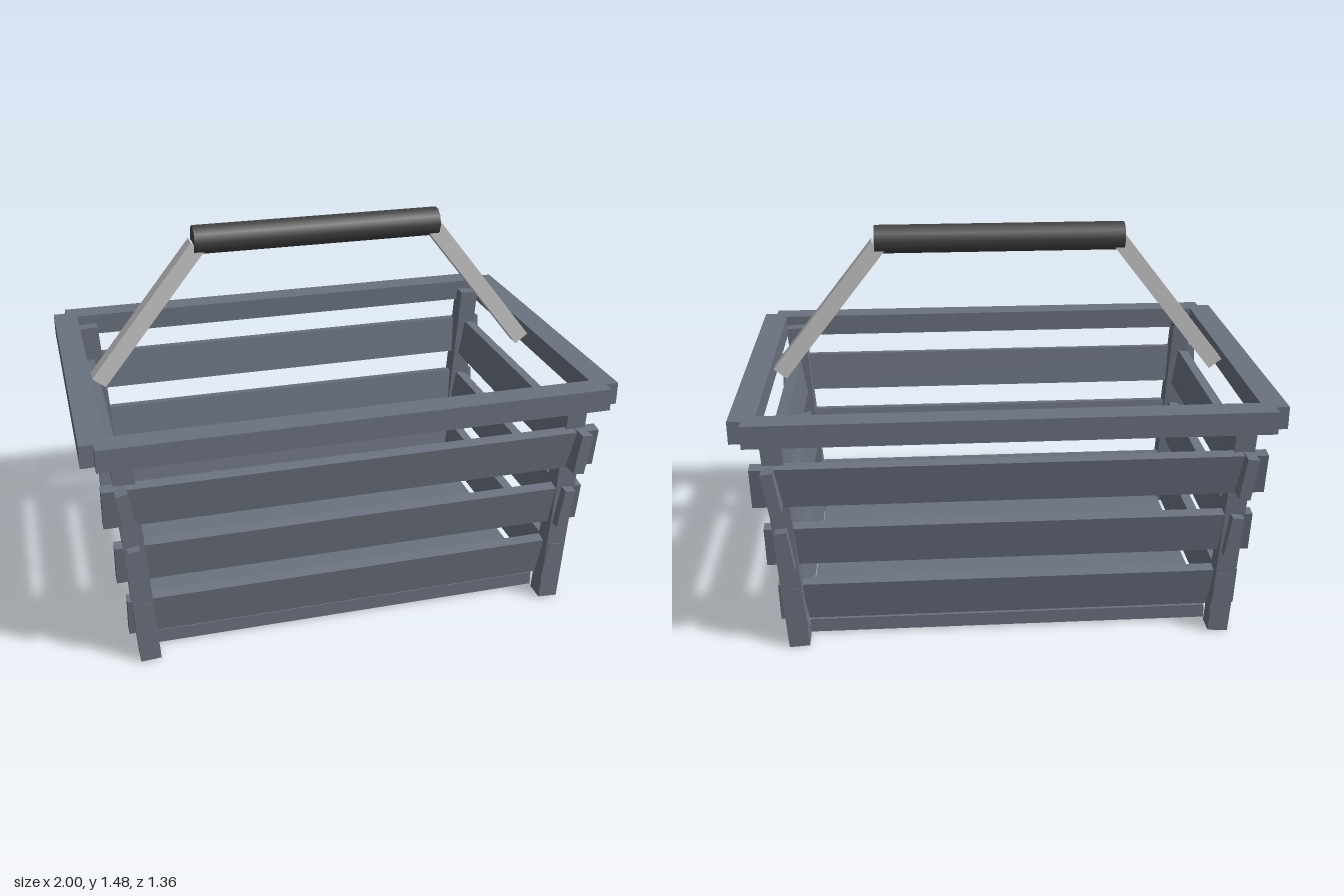
import * as THREE from 'three';

const slatMat = new THREE.MeshStandardMaterial({ color: 0x6b7280 });
const armMat = new THREE.MeshStandardMaterial({ color: 0xcccccc });
const gripMat = new THREE.MeshStandardMaterial({ color: 0x444444 });

function box(parent, name, size, position, mat = slatMat) {
  const mesh = new THREE.Mesh(new THREE.BoxGeometry(...size), mat);
  mesh.name = name;
  mesh.position.set(...position);
  parent.add(mesh);
  return mesh;
}

export function createModel() {
  const basket = new THREE.Group();
  basket.name = 'basket';

  // floor panel
  box(basket, 'floor', [1.54, 0.055, 1.02], [0, 0.0325, 0]);

  // corner posts, leaning outwards sideways
  for (const sx of [-1, 1]) {
    for (const sz of [-1, 1]) {
      const post = box(basket, 'cornerPost', [0.077, 0.9, 0.077], [sx * 0.834, 0.452, sz * 0.568]);
      post.rotation.z = -sx * 0.067;
    }
  }

  // three tiers of crossing slats, each tier wider than the one below
  const tilt = 0.15;
  for (let i = 0; i < 3; i++) {
    const y = 0.173 + i * 0.252;
    const x = 0.8 + i * 0.03;
    const z = 0.538 + i * 0.0315;
    for (const s of [-1, 1]) {
      const long = box(basket, s > 0 ? 'frontSlat' : 'backSlat',
        [1.746 + i * 0.065, 0.16, 0.044], [0, y, s * z]);
      long.rotation.x = s * tilt;
      const short = box(basket, s > 0 ? 'leftSlat' : 'rightSlat',
        [0.044, 0.16, 1.22 + i * 0.068], [s * x, y, 0]);
      short.rotation.z = -s * tilt;
    }
  }

  // rim rails with stepped corners
  for (const s of [-1, 1]) {
    box(basket, s > 0 ? 'frontRim' : 'backRim', [1.9, 0.086, 0.095], [0, 0.897, s * 0.63]);
    box(basket, s > 0 ? 'leftRim' : 'rightRim', [0.095, 0.086, 1.26], [s * 0.9525, 0.897, 0]);
  }

  // handle: two sloping arms and a round grip
  const handle = new THREE.Group();
  handle.name = 'handle';
  basket.add(handle);
  const [x0, y0, x1, y1] = [0.875, 0.895, 0.472, 1.405];
  for (const s of [-1, 1]) {
    const arm = box(handle, 'handleArm', [0.063, Math.hypot(x1 - x0, y1 - y0), 0.065],
      [s * (x0 + x1) / 2, (y0 + y1) / 2, 0], armMat);
    arm.rotation.z = s * Math.atan2(x0 - x1, y1 - y0);
  }
  const grip = new THREE.Mesh(new THREE.CylinderGeometry(0.055, 0.055, 0.97, 10), gripMat);
  grip.name = 'grip';
  grip.rotation.z = Math.PI / 2;
  grip.position.y = 1.426;
  handle.add(grip);

  return basket;
}
